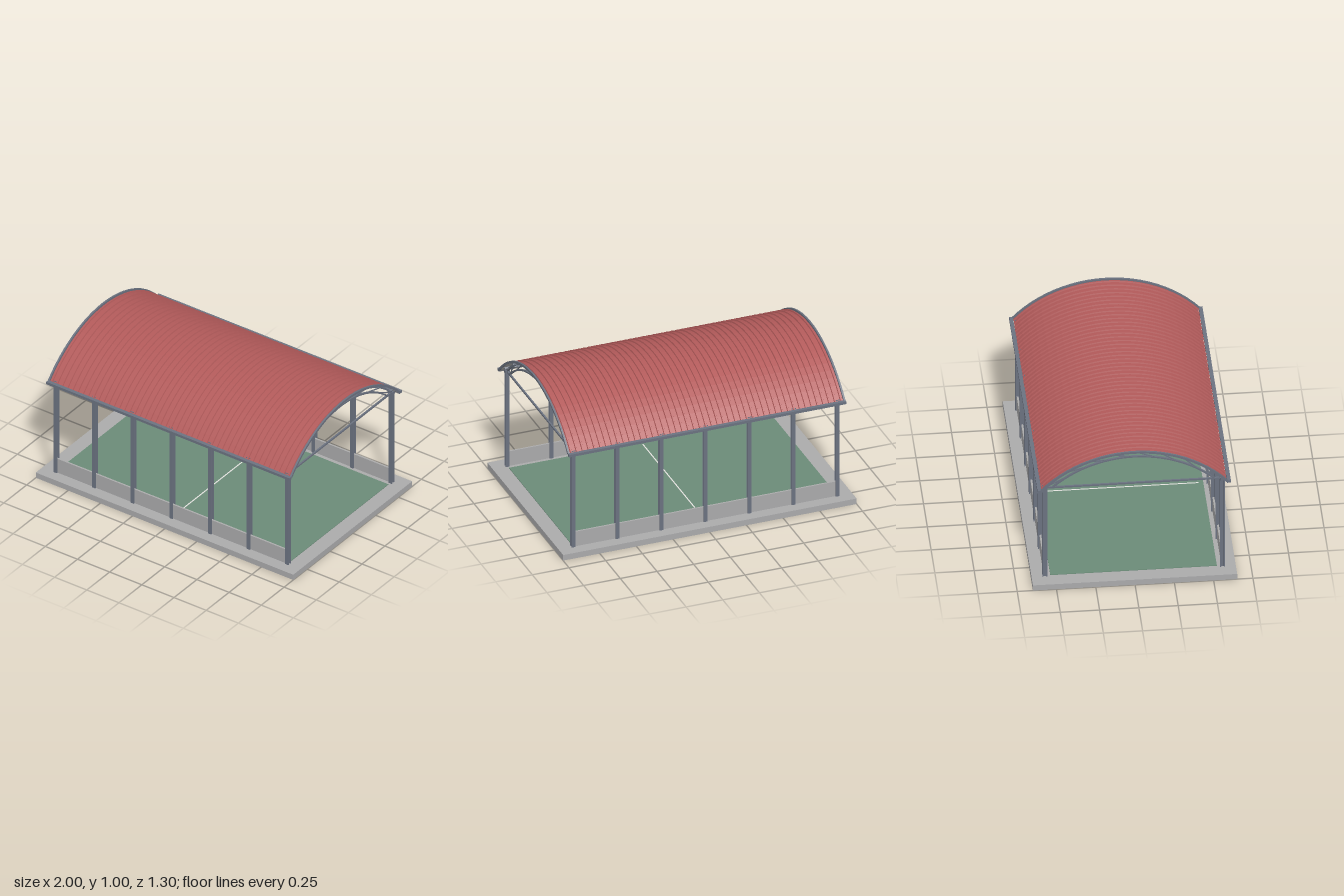
import * as THREE from 'three';

const mat = (name, color, side = THREE.FrontSide) => {
  const m = new THREE.MeshStandardMaterial({ color, side });
  m.name = name;
  return m;
};

export function createModel() {
  const concrete = mat('concrete grey', 0xaaaaab);
  const steel = mat('steel grey', 0x6b7280);
  const red = mat('roof red', 0xb25a5a);
  const green = mat('court green', 0x6b8b78);
  const white = mat('line white', 0xe4e4e0);
  const lining = mat('lining grey', 0xa4a4a4);

  const model = new THREE.Group();
  model.name = 'coveredCourt';

  const add = (name, geometry, material, x = 0, y = 0, z = 0) => {
    const mesh = new THREE.Mesh(geometry, material);
    mesh.name = name;
    mesh.position.set(x, y, z);
    model.add(mesh);
    return mesh;
  };
  const box = (name, material, w, h, d, x, y, z) =>
    add(name, new THREE.BoxGeometry(w, h, d), material, x, y, z);

  // point on an arch: angle a is measured from the crown, toward +z
  const onArc = (cy, r, a) => [cy + r * Math.cos(a), r * Math.sin(a)];

  // curved band in the yz plane with a given width along x
  const archGeometry = (cy, rIn, rOut, half, width, steps = 24) => {
    const shape = new THREE.Shape();
    for (let i = 0; i <= steps; i++) {
      const [y, z] = onArc(cy, rOut, half - (2 * half * i) / steps);
      i ? shape.lineTo(z, y) : shape.moveTo(z, y);
    }
    for (let i = 0; i <= steps; i++) {
      const [y, z] = onArc(cy, rIn, -half + (2 * half * i) / steps);
      shape.lineTo(z, y);
    }
    const g = new THREE.ExtrudeGeometry(shape, { depth: width, bevelEnabled: false });
    return g.translate(0, 0, -width / 2).rotateY(Math.PI / 2);
  };

  // thin square bar between two (y, z) points at a given x
  const bar = (name, x, [y0, z0], [y1, z1], t) => {
    const len = Math.hypot(y1 - y0, z1 - z0);
    const m = box(name, steel, t, t, len, x, (y0 + y1) / 2, (z0 + z1) / 2);
    m.rotation.x = -Math.atan2(y1 - y0, z1 - z0);
  };

  // slab, playing surface and centre line
  box('slab', concrete, 2, 0.04, 1.3, 0, 0.02, 0);
  box('court', green, 1.8, 0.004, 1.06, 0, 0.042, 0);
  box('centreLine', white, 0.008, 0.002, 1.0, 0, 0.0447, 0);

  // low side walls and gutters
  for (const s of [-1, 1]) {
    box('sideWall', concrete, 1.8, 0.105, 0.012, 0, 0.0925, s * 0.565);
    box('gutter', steel, 1.89, 0.018, 0.024, 0, 0.726, s * 0.603);
  }

  // frames: I-section columns and arched trusses
  const UP = { cy: 0.189, r: 0.786, half: 0.81 };
  const LOW = { cy: 0.18, r: 0.757, half: 0.757 };
  const upperChord = archGeometry(UP.cy, UP.r - 0.012, UP.r, UP.half, 0.014);
  const lowerChord = archGeometry(LOW.cy, LOW.r - 0.01, LOW.r, LOW.half, 0.014);
  for (let i = 0; i < 7; i++) {
    const x = -0.9 + 0.3 * i;
    for (const s of [-1, 1]) {
      const z = s * 0.565;
      box('columnWeb', steel, 0.007, 0.68, 0.018, x, 0.38, z);
      for (const f of [-1, 1])
        box('columnFlange', steel, 0.025, 0.68, 0.007, x, 0.38, z + f * 0.0115);
      box('columnCap', steel, 0.03, 0.022, 0.03, x, 0.726, z);
    }
    add('upperChord', upperChord, steel, x);
    add('lowerChord', lowerChord, steel, x);
    for (let k = 0; k < 8; k++) {
      const a = LOW.half * (1 - k / 4), b = UP.half * (1 - (k + 1) / 4);
      bar('trussDiagonal', x, onArc(LOW.cy, LOW.r - 0.005, a), onArc(UP.cy, UP.r - 0.006, b), 0.006);
    }
    if (i === 0 || i === 6) bar('endTie', x, [0.727, -0.56], [0.727, 0.56], 0.011);
  }

  // roof: purlins, end trims and lining
  const CY = 0.197, R = 0.79, HALF = 0.839, STEPS = 24, W = 0.94;
  for (const z of [-0.53, -0.39, -0.2, 0, 0.2, 0.39, 0.53]) {
    const a = Math.asin(z / 0.781);
    const [y, pz] = onArc(CY, 0.781, a);
    box('purlin', steel, 2 * W - 0.02, 0.012, 0.007, 0, y, pz).rotation.x = a;
  }
  const trim = archGeometry(CY, 0.788, 0.803, HALF, 0.012);
  for (const s of [-1, 1]) add('endTrim', trim, steel, s * W);
  add('roofLining', archGeometry(CY, 0.787, 0.789, HALF, 2 * W, STEPS), lining);

  // ribbed sheet: trapezoid ribs across x, swept over the arch
  const RIBS = 47, pitch = (2 * W) / RIBS, profile = [];
  for (let i = 0; i < RIBS; i++) {
    const x0 = -W + i * pitch;
    profile.push([x0, 0], [x0 + 0.013, 0], [x0 + 0.016, 0.008], [x0 + 0.024, 0.008], [x0 + 0.027, 0]);
  }
  profile.push([W, 0]);
  const pos = [];
  const vertex = ([x, h], j) => {
    const [y, z] = onArc(CY, R + h, -HALF + (2 * HALF * j) / STEPS);
    return [x, y, z];
  };
  for (let j = 0; j < STEPS; j++) {
    for (let i = 0; i < profile.length - 1; i++) {
      const a = vertex(profile[i], j), b = vertex(profile[i + 1], j);
      const c = vertex(profile[i + 1], j + 1), d = vertex(profile[i], j + 1);
      pos.push(...a, ...d, ...c, ...a, ...c, ...b);
    }
  }
  const sheet = new THREE.BufferGeometry();
  sheet.setAttribute('position', new THREE.Float32BufferAttribute(pos, 3));
  sheet.computeVertexNormals();
  add('roofSheet', sheet, red);

  return model;
}
